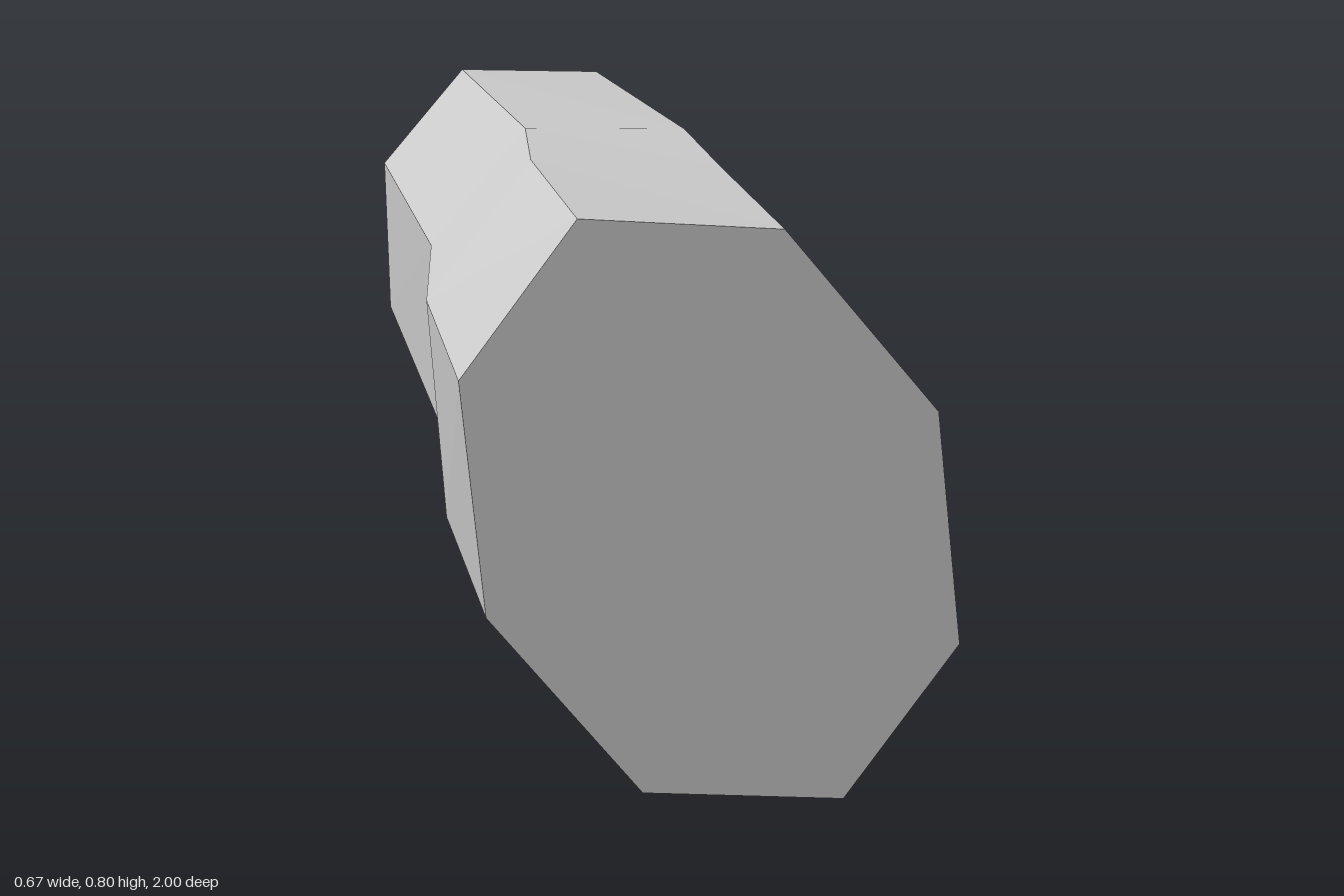
import * as THREE from 'three';

// Skewed octagon with point symmetry: four corners given, four mirrored through the centre.
// Corners run clockwise as seen from the front; tilt moves the lower corners along z.
function section(z, cx, cy, half, tilt = 0) {
  const ring = [...half, ...half.map(([x, y]) => [2 * cx - x, 2 * cy - y])];
  return ring.map(([x, y]) => new THREE.Vector3(x, y, z + tilt * (0.73 - y)));
}

// Skin consecutive sections (front to back), with optional flat end caps.
function loft(name, sections, capFront, capBack, material) {
  const pos = [];
  const tri = (...pts) => pts.forEach((p) => pos.push(p.x, p.y, p.z));
  for (let s = 0; s < sections.length - 1; s++) {
    const f = sections[s], b = sections[s + 1];
    for (let i = 0; i < f.length; i++) {
      const j = (i + 1) % f.length;
      tri(f[i], f[j], b[i]);
      tri(f[j], b[j], b[i]);
    }
  }
  const first = sections[0], last = sections[sections.length - 1];
  for (let i = 1; i < first.length - 1; i++) {
    if (capFront) tri(first[0], first[i + 1], first[i]);
    if (capBack) tri(last[0], last[i], last[i + 1]);
  }
  const geometry = new THREE.BufferGeometry();
  geometry.setAttribute('position', new THREE.Float32BufferAttribute(pos, 3));
  geometry.computeVertexNormals();
  const mesh = new THREE.Mesh(geometry, material);
  mesh.name = name;
  return mesh;
}

export function createModel() {
  const group = new THREE.Group();
  group.name = 'bentOctagonalBar';
  const material = new THREE.MeshStandardMaterial({ color: 0xcccccc, flatShading: true });

  const front = section(1, 0, 0.4, [[-0.18, 0.8], [0.093, 0.78], [0.302, 0.53], [0.336, 0.21]]);
  const bend = section(0.5, -0.005, 0.418, [[-0.182, 0.8], [0.09, 0.785], [0.296, 0.553], [0.322, 0.235]]);
  const joint = section(0.13, 0.003, 0.457, [[-0.147, 0.79], [0.096, 0.784], [0.288, 0.573], [0.297, 0.3]]);
  const back = section(-1, 0.015, 0.42, [[-0.13, 0.73], [0.112, 0.722], [0.295, 0.535], [0.302, 0.275]], 0.045);

  // Thick front end, tapering neck and long rear shaft
  group.add(loft('frontEnd', [front, bend], true, false, material));
  group.add(loft('neck', [bend, joint], false, false, material));
  group.add(loft('rearShaft', [joint, back], false, true, material));
  return group;
}
